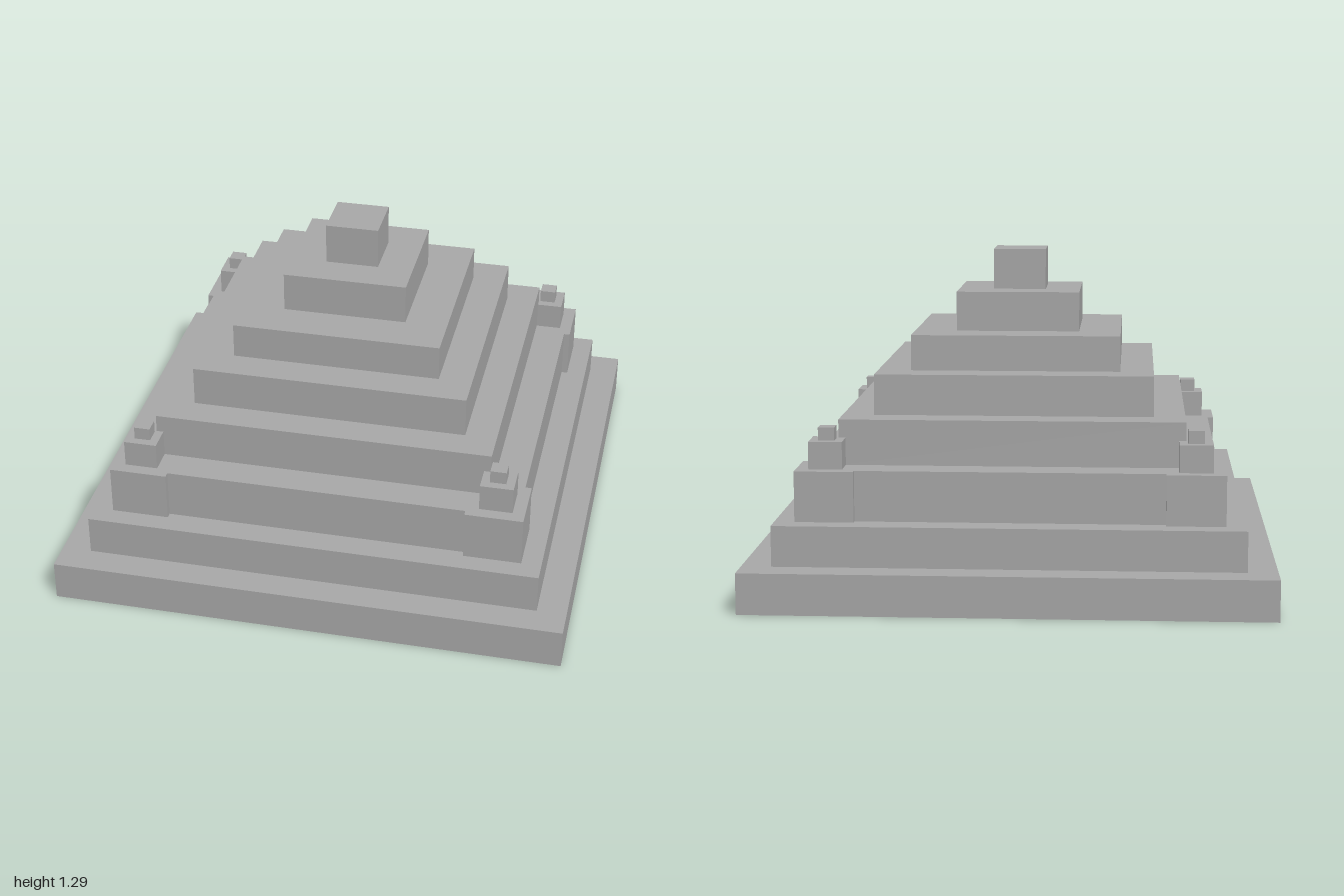
import * as THREE from 'three';

export function createModel() {
  const model = new THREE.Group();
  model.name = 'steppedPyramid';
  const stone = new THREE.MeshStandardMaterial({ color: 0xaaaaaa });
  stone.name = 'stone';

  // Square block given by its half width and bottom and top heights
  function block(parent, name, half, bottom, top) {
    const geometry = new THREE.BoxGeometry(half * 2, top - bottom, half * 2);
    const mesh = new THREE.Mesh(geometry, stone);
    mesh.name = name;
    mesh.position.y = (bottom + top) / 2;
    parent.add(mesh);
    return mesh;
  }

  // Stacked terraces: [half width, top height]
  const tiers = [
    [1, 0.157], [0.886, 0.312], [0.785, 0.505], [0.66, 0.68],
    [0.538, 0.837], [0.408, 0.975], [0.243, 1.13], [0.104, 1.29],
  ];
  let bottom = 0;
  tiers.forEach(([half, top], i) => {
    block(model, i === tiers.length - 1 ? 'summitBlock' : `terrace${i + 1}`, half, bottom, top);
    bottom = top;
  });

  // Corner turrets on the third terrace
  for (const sx of [-1, 1]) {
    for (const sz of [-1, 1]) {
      const turret = new THREE.Group();
      turret.name = `${sz > 0 ? 'front' : 'back'}${sx > 0 ? 'Left' : 'Right'}Turret`;
      turret.position.set(sx * 0.697, 0, sz * 0.697);
      block(turret, 'turretBase', 0.112, 0.312, 0.505);
      block(turret, 'turretBody', 0.064, 0.505, 0.61);
      block(turret, 'turretCap', 0.031, 0.61, 0.66);
      model.add(turret);
    }
  }
  return model;
}
